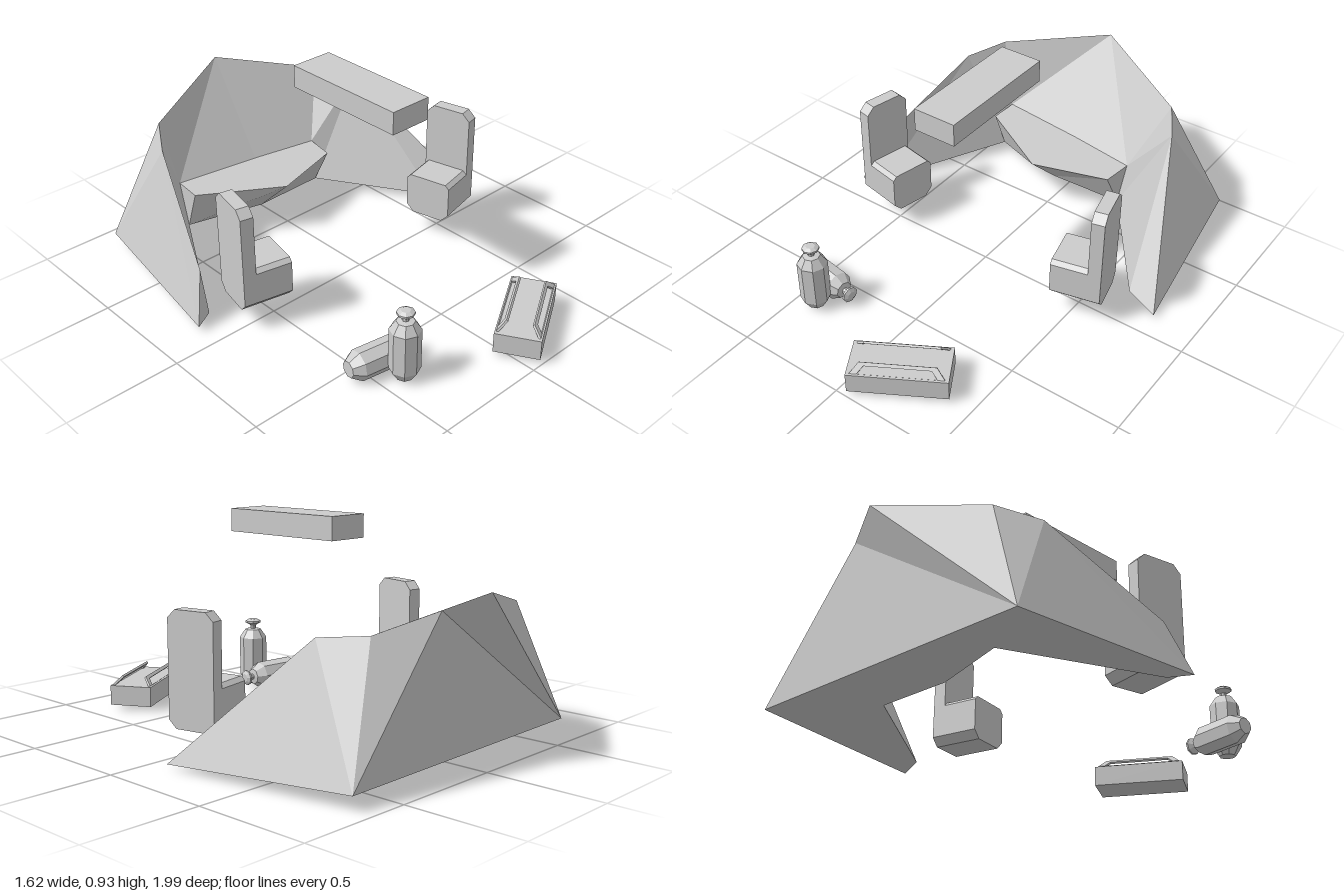
import * as THREE from 'three';

const material = new THREE.MeshStandardMaterial({ color: 0xcccccc, flatShading: true, side: THREE.DoubleSide });

function mesh(name, geometry) {
  const m = new THREE.Mesh(geometry, material);
  m.name = name;
  return m;
}

const toShape = (points) => new THREE.Shape(points.map(([x, y]) => new THREE.Vector2(x, y)));

// Flat-faced solid from named corners and polygons listed as corner names
function facets(corners, faces) {
  const pos = [];
  for (const face of faces) {
    const p = face.split(' ');
    for (let i = 1; i < p.length - 1; i++) {
      for (const key of [p[0], p[i], p[i + 1]]) pos.push(...corners[key]);
    }
  }
  const g = new THREE.BufferGeometry();
  g.setAttribute('position', new THREE.Float32BufferAttribute(pos, 3));
  g.computeVertexNormals();
  return g;
}

// Curved rock shelter: two wings, a peaked back wall and a low ledge
function rockShelter() {
  const c = {
    peak: [0, 0.692, -1], notch: [0.19, 0.637, -0.915],
    cornerL: [-0.7, 0.06, -0.895], cornerR: [0.69, 0.065, -0.93],
    ridgeL: [-0.47, 0.585, -0.8], ridgeR: [0.45, 0.565, -0.8],
    midL: [-0.57, 0.55, -0.635], midR: [0.55, 0.55, -0.625],
    tipL: [-0.815, 0.03, -0.1], tipR: [0.81, 0.025, -0.1],
    upperL: [-0.74, 0.245, -0.17],
    toeL: [-0.725, 0.03, -0.15], toeR: [0.65, 0.025, -0.17],
    wallL: [-0.405, 0.26, -0.775], wallM: [0, 0.255, -0.728], wallR: [0.315, 0.25, -0.68],
    ledgeL: [-0.415, 0.255, -0.645], ledgeM: [-0.05, 0.245, -0.435], ledgeR: [0.295, 0.245, -0.54],
    footL: [-0.41, 0.06, -0.72], footM: [-0.05, 0.06, -0.63], footR: [0.3, 0.06, -0.64],
  };
  return mesh('rockShelter', facets(c, [
    // back
    'peak notch cornerL', 'notch cornerR cornerL', 'notch ridgeR cornerR', 'peak cornerL ridgeL',
    // outer sides of the wings
    'midL ridgeL cornerL tipL upperL', 'midR tipR cornerR ridgeR',
    // inner sides of the wings
    'midL upperL toeL footL wallL ridgeL', 'upperL tipL toeL',
    'midR ridgeR wallR footR toeR', 'midR toeR tipR',
    // inner back wall
    'peak ridgeL wallL wallM', 'peak wallM wallR ridgeR',
    // ledge
    'wallM wallL ledgeL ledgeM ledgeR wallR', 'footL footM ledgeM ledgeL', 'footM footR ledgeR ledgeM',
    'wallL footL ledgeL', 'wallR ledgeR footR',
    // underside
    'cornerL footL toeL tipL', 'cornerL cornerR footR footM footL', 'cornerR tipR toeR footR',
  ]));
}

// Slab with cut corners, running along x from x0 to x1
function cutSlab(name, width, y0, y1, x0, x1, topCut) {
  const h = width / 2, k = 0.035, t = topCut;
  const shape = toShape([
    [-h + k, y0], [h - k, y0], [h, y0 + k], [h, y1 - t],
    [h - t, y1], [-h + t, y1], [-h, y1 - t], [-h, y0 + k],
  ]);
  const g = new THREE.ExtrudeGeometry(shape, { depth: x1 - x0, bevelEnabled: false });
  g.rotateY(Math.PI / 2).translate(x0, 0, 0);
  return mesh(name, g);
}

function seat(name, x, z, angle) {
  const g = new THREE.Group();
  g.name = name;
  g.add(cutSlab('seatBack', 0.218, 0.1, 0.583, -0.11, -0.052, 0.035));
  g.add(cutSlab('seatBase', 0.218, 0.1, 0.293, -0.052, 0.112, 0.018));
  g.position.set(x, 0, z);
  g.rotation.y = angle;
  return g;
}

// Eight-sided bottle with a flared cap
function bottle(name, base, direction) {
  const profile = [
    [0, 0], [0.036, 0], [0.065, 0.045], [0.065, 0.23], [0.038, 0.27], [0.014, 0.274],
    [0.014, 0.29], [0.037, 0.303], [0.037, 0.312], [0.02, 0.321], [0, 0.321],
  ].map(([r, y]) => new THREE.Vector2(r, y));
  const m = mesh(name, new THREE.LatheGeometry(profile, 8));
  m.position.set(...base);
  m.quaternion.setFromUnitVectors(new THREE.Vector3(0, 1, 0), new THREE.Vector3(...direction).normalize());
  return m;
}

// Low case with two open handles leaning inward over its top
function carryCase() {
  const g = new THREE.Group();
  g.name = 'carryCase';
  const body = mesh('caseBody', new THREE.BoxGeometry(0.41, 0.09, 0.192));
  body.position.y = 0.07;
  g.add(body);

  const frame = toShape([[-0.19, 0], [0.19, 0], [0.155, 0.048], [-0.155, 0.048]]);
  frame.holes.push(toShape([[-0.16, 0], [-0.135, 0.033], [0.135, 0.033], [0.16, 0]]));
  const frameGeometry = new THREE.ExtrudeGeometry(frame, { depth: 0.01, bevelEnabled: false });
  frameGeometry.rotateX(-0.75).translate(0, 0.112, 0.082);
  for (const turn of [0, Math.PI]) {
    const handle = mesh('caseHandle', frameGeometry);
    handle.rotation.y = turn;
    g.add(handle);
  }
  g.position.set(0.176, 0, 0.806);
  g.rotation.y = 0.53;
  return g;
}

export function createModel() {
  const model = new THREE.Group();
  model.name = 'campScene';
  model.add(rockShelter());

  model.add(seat('rightSeat', -0.546, -0.048, -0.2));
  model.add(seat('leftSeat', 0.512, 0, Math.PI + 0.23));

  model.add(bottle('standingBottle', [-0.402, 0.013, 0.68], [0, 1, 0]));
  model.add(bottle('lyingBottle', [-0.585, 0.073, 0.555], [0.315, -0.006, 0.045]));
  model.add(carryCase());

  // Block hanging above the middle
  const block = mesh('floatingBlock', new THREE.BoxGeometry(0.195, 0.1, 0.59));
  block.position.set(-0.02, 0.88, 0.018);
  model.add(block);
  return model;
}
